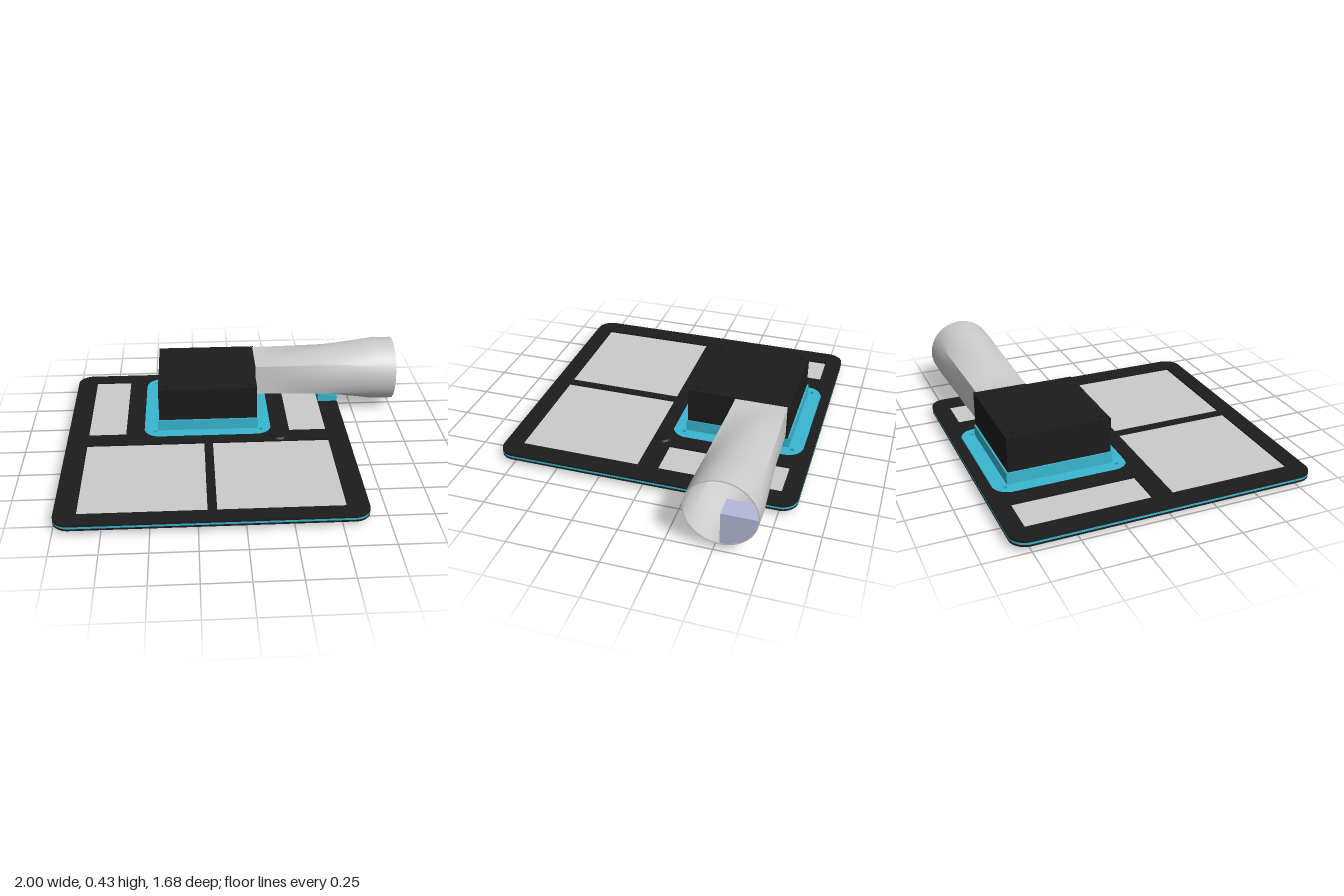
import * as THREE from 'three';
import { toCreasedNormals } from 'three/addons/utils/BufferGeometryUtils.js';

const mat = (color) => new THREE.MeshStandardMaterial({ color, side: THREE.DoubleSide });

export function createModel() {
  const model = new THREE.Group();
  const black = mat(0x1c1c1c), cyan = mat(0x38b6d0), grey = mat(0xcccccc), lavender = mat(0xb4b8d8);

  const add = (name, geometry, material, x = 0, y = 0, z = 0) => {
    const mesh = new THREE.Mesh(geometry, material);
    mesh.name = name;
    mesh.position.set(x, y, z);
    model.add(mesh);
    return mesh;
  };

  // Box given by its limits
  const block = (name, material, x0, x1, y0, y1, z0, z1) =>
    add(name, new THREE.BoxGeometry(x1 - x0, y1 - y0, z1 - z0), material,
      (x0 + x1) / 2, (y0 + y1) / 2, (z0 + z1) / 2);

  // Plan outlines, drawn with shape y = -z
  const rect = (x0, x1, z0, z1, r = 0, Type = THREE.Path) => {
    const s = new Type(), a = -z1, b = -z0;
    if (!r) {
      s.moveTo(x0, a).lineTo(x1, a).lineTo(x1, b).lineTo(x0, b).closePath();
      return s;
    }
    s.moveTo(x0 + r, a);
    s.absarc(x1 - r, a + r, r, -Math.PI / 2, 0, false);
    s.absarc(x1 - r, b - r, r, 0, Math.PI / 2, false);
    s.absarc(x0 + r, b - r, r, Math.PI / 2, Math.PI, false);
    s.absarc(x0 + r, a + r, r, Math.PI, Math.PI * 1.5, false);
    return s;
  };
  const drill = (x, z, r = 0.012) => new THREE.Path().absarc(x, -z, r, 0, Math.PI * 2, true);

  // Flat plate with holes between two heights
  const plate = (name, material, outline, holes, y0, y1) => {
    outline.holes = holes;
    const g = new THREE.ExtrudeGeometry(outline, { depth: y1 - y0, bevelEnabled: false, curveSegments: 12 });
    g.rotateX(-Math.PI / 2);
    return add(name, toCreasedNormals(g, 0.6), material, 0, y0, 0);
  };

  // Base board: three layers with four windows
  const windows = [
    [-0.88, -0.66, -0.745, -0.06], [0.31, 0.53, -0.745, -0.06],
    [-0.88, -0.20, 0.055, 0.74], [-0.15, 0.53, 0.055, 0.74],
  ];
  const corners = [[-0.49, -0.72], [0.14, -0.72], [0.14, -0.09], [-0.49, -0.09]];
  const board = () => rect(-1, 0.65, -0.84, 0.84, 0.09, THREE.Shape);
  const windowHoles = () => windows.map((w) => rect(...w));
  const screwHoles = () => corners.map((c) => drill(...c));
  const intake = () => rect(-0.445, 0.1, -0.675, -0.13);
  const flange = (grow = 0, Type = THREE.Path) =>
    rect(-0.55 - grow, 0.2 + grow, -0.78 - grow, -0.03 + grow, 0.09 + grow, Type);

  plate('bottomPlate', black, board(), [...windowHoles(), ...screwHoles(), intake()], 0.033, 0.044);
  plate('middlePlate', cyan, board(), [...windowHoles(), ...screwHoles(), intake()], 0.044, 0.056);
  plate('topPlate', black, board(), [...windowHoles(), flange(0.004)], 0.056, 0.067);
  windows.forEach(([x0, x1, z0, z1]) => block('filterPanel', grey, x0, x1, 0.045, 0.058, z0, z1));

  // Mounting flange and raised collar of the blower
  plate('mountingFlange', cyan, flange(0, THREE.Shape), [...screwHoles(), intake()], 0.056, 0.064);
  plate('mountingCollar', cyan, rect(-0.472, 0.125, -0.702, -0.102, 0, THREE.Shape), [intake()], 0.064, 0.13);

  // Hollow blower housing with a side outlet
  const lid = new THREE.Shape();
  [[-0.463, -0.11], [0.12, -0.11], [0.12, -0.385], [0.137, -0.385], [0.137, -0.692], [-0.463, -0.692]]
    .forEach(([x, z], i) => (i ? lid.lineTo(x, -z) : lid.moveTo(x, -z)));
  plate('housingLid', black, lid,
    [drill(-0.42, -0.65), drill(-0.42, -0.155), drill(0.075, -0.155)], 0.308, 0.33);
  block('housingWall', black, -0.463, -0.445, 0.13, 0.308, -0.692, -0.11);
  block('housingWall', black, -0.445, 0.12, 0.13, 0.308, -0.13, -0.11);
  block('housingWall', black, -0.445, 0.137, 0.13, 0.308, -0.692, -0.675);
  block('housingWall', black, 0.1, 0.12, 0.13, 0.308, -0.385, -0.13);
  block('outletSill', black, 0.1, 0.137, 0.13, 0.15, -0.675, -0.385);
  block('outletPost', black, 0.1, 0.137, 0.13, 0.308, -0.395, -0.385);

  // Duct: a rectangle lofted into a circle, with wall thickness
  const cy = 0.235, cz = -0.532, R = 0.193, hw = 0.148, hh = 0.093, wall = 0.006, side = 14;
  const corner = Math.atan2(hh, hw);
  const stops = [-corner, corner, Math.PI - corner, Math.PI + corner, 2 * Math.PI - corner];
  const angles = [];
  for (let k = 0; k < 4; k++)
    for (let i = 0; i < side; i++) angles.push(THREE.MathUtils.lerp(stops[k], stops[k + 1], i / side));
  const outer = [[0.13, 0], [0.2, 0]];
  for (let i = 1; i <= 8; i++) outer.push([0.2 + 0.085 * i, i / 8]);
  outer.push([1, 1]);
  const rings = [...outer.map(([x, t]) => [x, t, 0]), ...outer.slice().reverse().map(([x, t]) => [x, t, wall])];
  rings.push(rings[0]);
  const pos = [], index = [], n = angles.length;
  rings.forEach(([x, t, inset], i) => {
    angles.forEach((a, j) => {
      const c = Math.cos(a), s = Math.sin(a);
      const toRect = Math.min((hw - inset) / Math.abs(c), (hh - inset) / Math.abs(s));
      const r = THREE.MathUtils.lerp(toRect, R - inset, t);
      pos.push(x, cy + (1 - t) * 0.003 + r * s, cz + r * c);
      if (i < rings.length - 1) {
        const p = i * n + j, q = i * n + ((j + 1) % n);
        index.push(p, p + n, q, q, p + n, q + n);
      }
    });
  });
  const duct = new THREE.BufferGeometry();
  duct.setAttribute('position', new THREE.Float32BufferAttribute(pos, 3));
  duct.setIndex(index);
  add('outletDuct', toCreasedNormals(duct, 0.5), grey);

  // Quarter-round insert in the duct mouth
  const quarter = new THREE.Shape();
  quarter.moveTo(0, 0).lineTo(R - wall, 0);
  quarter.absarc(0, 0, R - wall, 0, -Math.PI / 2, true);
  quarter.lineTo(0, 0);
  const insert = new THREE.ExtrudeGeometry(quarter, { depth: 0.12, bevelEnabled: false, curveSegments: 16 });
  insert.rotateY(Math.PI / 2);
  add('mouthInsert', toCreasedNormals(insert, 0.5), lavender, 0.878, cy - 0.003, cz);

  // Saddle under the duct, its top falling toward the board edge
  const cradle = new THREE.Shape();
  cradle.moveTo(-0.12, 0).lineTo(0.12, 0).lineTo(0.12, 0.048);
  cradle.quadraticCurveTo(0, -0.005, -0.12, 0.048);
  const saddle = new THREE.ExtrudeGeometry(cradle, { depth: 0.12, bevelEnabled: false, curveSegments: 16 });
  const sp = saddle.attributes.position;
  for (let i = 0; i < sp.count; i++) sp.setY(i, sp.getY(i) * (1 - 2.2 * sp.getZ(i)));
  saddle.rotateY(Math.PI / 2);
  add('ductSaddle', toCreasedNormals(saddle, 0.5), cyan, 0.53, 0.066, cz);

  // Round rocker switch through the board
  const disc = (name, r0, r1, y0, y1) =>
    add(name, toCreasedNormals(new THREE.CylinderGeometry(r1, r0, y1 - y0, 32), 0.6), black, 0.24, (y0 + y1) / 2, 0);
  disc('switchBody', 0.038, 0.042, 0, 0.067);
  disc('switchRim', 0.052, 0.046, 0.067, 0.078);
  const rocker = disc('switchRocker', 0.036, 0.036, 0.068, 0.086);
  rocker.rotation.x = 0.14;

  return model;
}
